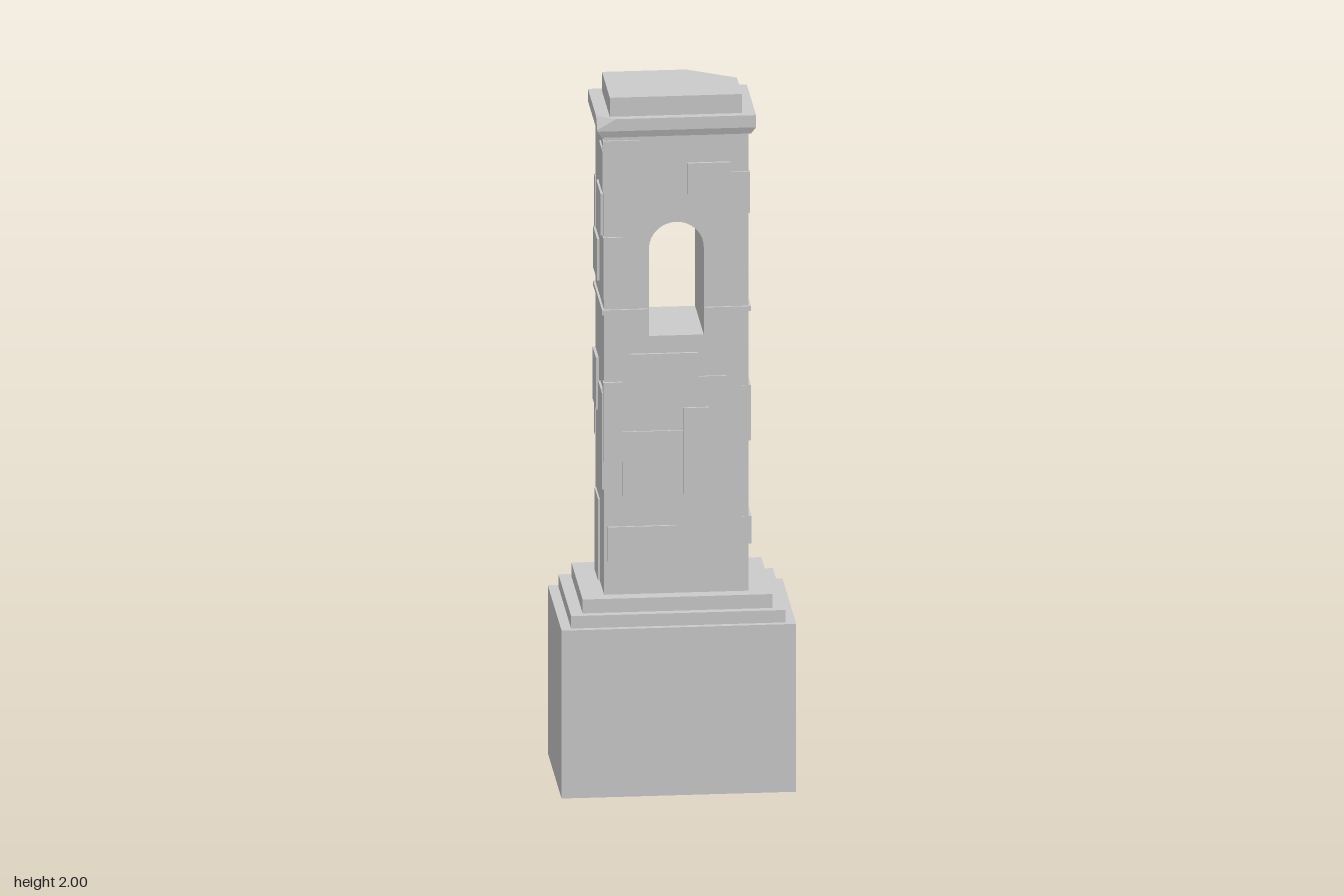
import * as THREE from 'three';
import { ConvexGeometry } from 'three/addons/geometries/ConvexGeometry.js';

export function createModel() {
  const model = new THREE.Group();
  const stone = new THREE.MeshStandardMaterial({ color: 0xcccccc, flatShading: true, side: THREE.DoubleSide });

  function add(name, geometry, parent = model) {
    const mesh = new THREE.Mesh(geometry, stone);
    mesh.name = name;
    parent.add(mesh);
    return mesh;
  }

  // Box given by its limits on each axis
  function block(name, x0, x1, y0, y1, z0, z1, parent) {
    const mesh = add(name, new THREE.BoxGeometry(x1 - x0, y1 - y0, z1 - z0), parent);
    mesh.position.set((x0 + x1) / 2, (y0 + y1) / 2, (z0 + z1) / 2);
    return mesh;
  }

  const hull = (points) => new ConvexGeometry(points.map((p) => new THREE.Vector3(...p)));

  // Plinth, open underneath, with two steps on top
  const plinth = block('plinth', -0.325, 0.325, 0, 0.487, -0.203, 0.203);
  const faces = Array.from(plinth.geometry.index.array);
  faces.splice(18, 6); // remove the bottom face
  plinth.geometry.setIndex(faces);
  plinth.geometry.clearGroups();
  block('lowerStep', -0.297, 0.297, 0.487, 0.523, -0.187, 0.187);
  block('upperStep', -0.263, 0.263, 0.523, 0.563, -0.165, 0.165);

  // Shaft with an arched opening running through it
  const X = 0.2, Z = 0.128;
  const outline = new THREE.Shape();
  outline.moveTo(-X, 0.563).lineTo(X, 0.563).lineTo(X, 1.9).lineTo(-X, 1.9).closePath();
  const arch = new THREE.Path();
  arch.moveTo(-0.076, 1.31).lineTo(0.076, 1.31).lineTo(0.076, 1.563);
  arch.absarc(0, 1.563, 0.076, 0, Math.PI, false);
  arch.closePath();
  outline.holes.push(arch);
  const shaftGeometry = new THREE.ExtrudeGeometry(outline, { depth: 2 * Z, bevelEnabled: false, curveSegments: 14 });
  shaftGeometry.translate(0, 0, -Z);
  add('shaft', shaftGeometry);

  // Thin string course, interrupted by the opening
  for (const [a, b] of [[-0.206, -0.078], [0.078, 0.206]]) {
    block('stringCourse', a, b, 1.376, 1.39, -0.134, 0.134);
  }

  // Raised facing stones: [u0, u1, y0, y1], u runs rightwards as seen from outside
  const facing = new THREE.Group();
  facing.name = 'facingStones';
  model.add(facing);
  const sides = [
    { name: 'frontStone', turn: 0, out: Z, stones: [
      [-0.203, -0.1, 1.74, 1.88], [-0.203, -0.15, 1.42, 1.6], [-0.203, -0.15, 0.95, 1.18],
      [-0.15, 0.02, 0.85, 1.035], [0.02, 0.09, 0.85, 1.1], [-0.13, 0.06, 1.17, 1.26],
      [0.06, 0.14, 1.12, 1.19], [-0.19, 0, 0.66, 0.76], [0.03, 0.15, 1.72, 1.81], [0.15, 0.203, 1.66, 1.78],
    ] },
    { name: 'rightStone', turn: Math.PI / 2, out: X, stones: [
      [-0.04, 0.06, 0.75, 0.96], [-0.131, -0.015, 1.0, 1.16], [-0.02, 0.131, 1.39, 1.57],
      [0.01, 0.131, 1.57, 1.645], [0.02, 0.131, 0.563, 0.66], [-0.131, -0.04, 0.7, 0.78], [-0.01, 0.1, 1.75, 1.84],
    ] },
    { name: 'backStone', turn: Math.PI, out: Z, stones: [
      [-0.203, -0.07, 1.735, 1.86], [-0.203, -0.15, 1.42, 1.6], [-0.18, -0.08, 0.72, 1.2],
      [0.1, 0.203, 1.44, 1.7], [-0.203, 0, 0.563, 0.7], [-0.06, 0.12, 0.9, 1.04], [-0.05, 0.1, 1.17, 1.25],
      [0.14, 0.203, 0.95, 1.12],
    ] },
    { name: 'leftStone', turn: -Math.PI / 2, out: X, stones: [
      [-0.11, 0, 0.563, 0.8], [0.02, 0.131, 0.87, 1.15], [-0.02, 0.11, 1.6, 1.72],
      [0.03, 0.131, 1.73, 1.85], [-0.131, -0.01, 1.43, 1.55], [-0.131, -0.03, 1.05, 1.2],
    ] },
  ];
  for (const { name, turn, out, stones } of sides) {
    const side = new THREE.Group();
    side.rotation.y = turn;
    facing.add(side);
    stones.forEach(([u0, u1, y0, y1], i) => {
      block(name, u0, u1, y0, y1, out - 0.02, out + 0.005 + 0.0015 * (i % 3), side);
    });
  }

  // Cornice with a sloping underside and a chipped front corner
  const cornice = [[-0.22, 1.945, 0.102], [-0.168, 1.945, 0.138], [-0.22, 1.915, 0.138]];
  for (const sx of [-1, 1]) for (const sz of [-1, 1]) {
    cornice.push([sx * 0.207, 1.89, sz * 0.131], [sx * 0.22, 1.91, sz * 0.138]);
    if (sx > 0 || sz < 0) cornice.push([sx * 0.22, 1.945, sz * 0.138]);
  }
  add('cornice', hull(cornice));

  // Cap slab with a broken back corner
  add('cap', hull([
    [-0.183, 1.944, -0.117], [0.183, 1.944, -0.117], [-0.183, 1.944, 0.115], [0.183, 1.944, 0.115],
    [-0.183, 2, 0.115], [0.183, 2, 0.115], [-0.183, 2, -0.117],
    [0.05, 2, -0.117], [0.183, 2, -0.032], [0.183, 1.95, -0.117],
  ]));

  return model;
}
